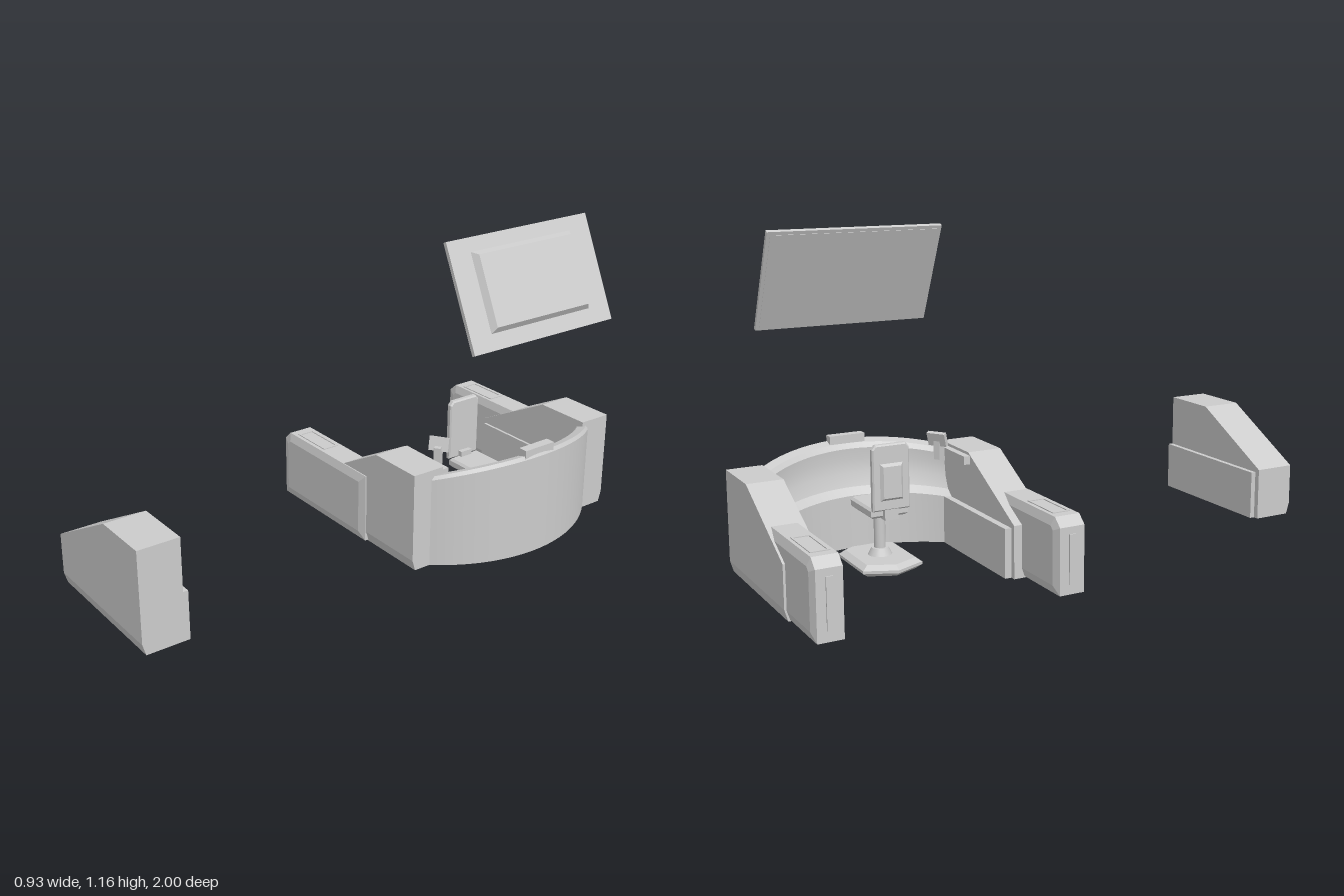
import * as THREE from 'three';
import { toCreasedNormals } from 'three/addons/utils/BufferGeometryUtils.js';

const grey = new THREE.MeshStandardMaterial({ color: 0xcccccc });

function add(parent, name, geometry, x = 0, y = 0, z = 0) {
  const mesh = new THREE.Mesh(geometry, grey);
  mesh.name = name;
  mesh.position.set(x, y, z);
  parent.add(mesh);
  return mesh;
}

// Box given by its extents
function block(parent, name, x0, x1, y0, y1, z0, z1) {
  return add(parent, name, new THREE.BoxGeometry(x1 - x0, y1 - y0, z1 - z0),
    (x0 + x1) / 2, (y0 + y1) / 2, (z0 + z1) / 2);
}

// Side profile extruded between z0 and z1, optionally chamfered on both faces
function slab(points, z0, z1, bevel = 0, inset = 0) {
  const shape = new THREE.Shape(points.map(p => new THREE.Vector2(...p)));
  return new THREE.ExtrudeGeometry(shape, {
    depth: z1 - z0 - 2 * bevel, bevelEnabled: bevel > 0, bevelThickness: bevel,
    bevelSize: inset, bevelOffset: -inset, bevelSegments: 1,
  }).translate(0, 0, z0 + bevel);
}

// Box whose +x face is drawn in on all sides
function taperedPanel(thick, high, wide, inset) {
  const g = new THREE.BoxGeometry(thick, high, wide).toNonIndexed();
  const p = g.attributes.position;
  for (let i = 0; i < p.count; i++) {
    if (p.getX(i) < 0) continue;
    p.setY(i, p.getY(i) - Math.sign(p.getY(i)) * inset);
    p.setZ(i, p.getZ(i) - Math.sign(p.getZ(i)) * inset);
  }
  g.computeVertexNormals();
  return g;
}

// Sloped side pod: inner and outer are z values, top is its height
function pod(name, inner, outer, top, plate) {
  const g = new THREE.Group();
  g.name = name;
  const side = Math.sign(outer - inner);
  const z0 = Math.min(inner, outer), z1 = Math.max(inner, outer);
  add(g, 'podBody', slab([[-0.23, 0.04], [0.32, 0.04], [0.32, top], [0.105, top], [-0.23, 0.187]], z0, z1));
  // Skirt tucked in at the bottom of the outer side
  const skirt = new THREE.BoxGeometry(0.55, 0.04, z1 - z0).toNonIndexed();
  const p = skirt.attributes.position;
  for (let i = 0; i < p.count; i++) {
    if (p.getY(i) < 0 && p.getZ(i) * side > 0) p.setZ(i, p.getZ(i) - side * 0.012);
  }
  skirt.computeVertexNormals();
  add(g, 'podSkirt', skirt, 0.045, 0.02, (z0 + z1) / 2);
  // Low plate on the inner face
  const edge = inner - side * plate;
  block(g, 'podInnerPlate', -0.21, 0.32, 0, 0.175, Math.min(edge, inner), Math.max(edge, inner));
  return g;
}

// Long chamfered arm reaching forward out of a pod
function arm(name, z0, z1) {
  const g = new THREE.Group();
  g.name = name;
  const mid = (z0 + z1) / 2;
  add(g, 'armBody', slab([[-0.463, 0.005], [0.05, 0.005], [0.05, 0.265], [-0.43, 0.265], [-0.463, 0.235]],
    z0, z1, 0.01, 0.03));
  block(g, 'armCore', -0.458, 0.05, 0.006, 0.235, z0 + 0.018, z1 - 0.018);
  block(g, 'armEndStrip', -0.468, -0.45, 0.04, 0.21, mid - 0.012, mid + 0.012);
  // Tray frame on top
  const rect = (w, d) => [[-w, -d], [w, -d], [w, d], [-w, d]].map(q => new THREE.Vector2(...q));
  const shape = new THREE.Shape(rect(0.085, 0.032));
  shape.holes.push(new THREE.Path(rect(0.077, 0.025)));
  const frame = new THREE.ExtrudeGeometry(shape, { depth: 0.004, bevelEnabled: false }).rotateX(-Math.PI / 2);
  add(g, 'armTrayFrame', frame, -0.31, 0.264, mid);
  return g;
}

function curvedWall() {
  // Cross-section as radius and share of the height, closed under the floor edge
  const section = [[0.49, 0], [0.586, 0], [0.586, 0.5], [0.586, 0.96], [0.578, 1], [0.545, 1], [0.533, 0.96],
    [0.535, 0.85], [0.53, 0.72], [0.515, 0.6], [0.49, 0.54], [0.49, 0]];
  const lathe = new THREE.LatheGeometry(section.map(q => new THREE.Vector2(...q)), 40, Math.PI / 4, Math.PI / 2);
  lathe.translate(-0.125, 0, 0);
  // The rim rises towards the middle
  const p = lathe.attributes.position;
  for (let i = 0; i < p.count; i++) {
    p.setY(i, p.getY(i) * (0.345 + 0.32 * (p.getX(i) - 0.32)));
  }
  return toCreasedNormals(lathe, 0.45);
}

function chair() {
  const g = new THREE.Group();
  g.name = 'chair';
  // Six-sided foot, pointed at the back
  const foot = slab([[-0.02, 0], [0.03, -0.11], [0.25, -0.11], [0.28, -0.06], [0.28, 0.06], [0.25, 0.11], [0.03, 0.11]],
    0, 0.04, 0.015, 0.02).rotateX(-Math.PI / 2);
  add(g, 'chairFoot', foot);
  add(g, 'chairPostCollar', new THREE.CylinderGeometry(0.03, 0.045, 0.03, 16), 0.14, 0.05, 0);
  add(g, 'chairPost', new THREE.CylinderGeometry(0.02, 0.02, 0.18, 16), 0.14, 0.12, 0);
  const seat = slab([[0.05, -0.068], [0.23, -0.068], [0.245, -0.05], [0.245, 0.05], [0.23, 0.068], [0.05, 0.068]],
    0, 0.035, 0.008, 0.008).rotateX(-Math.PI / 2);
  add(g, 'chairSeat', seat, 0, 0.195, 0);
  block(g, 'chairBackBracket', 0.03, 0.07, 0.19, 0.25, -0.025, 0.025);
  // Backrest with a raised panel behind
  const back = slab([[-0.068, 0.225], [0.068, 0.225], [0.068, 0.44], [0.055, 0.455], [-0.055, 0.455], [-0.068, 0.44]],
    0, 0.024, 0.005, 0.005).rotateY(Math.PI / 2);
  add(g, 'chairBackrest', back, 0.028, 0, 0);
  const panel = add(g, 'chairBackPanel', taperedPanel(0.012, 0.13, 0.085, 0.01), 0.023, 0.325, 0);
  panel.rotation.y = Math.PI;
  g.position.z = -0.52;
  return g;
}

function screen() {
  const g = new THREE.Group();
  g.name = 'screen';
  add(g, 'screenPanel', new THREE.BoxGeometry(0.014, 0.385, 0.64));
  add(g, 'screenRaisedCentre', taperedPanel(0.022, 0.281, 0.455, 0.016), 0.017, 0.004, 0.002);
  add(g, 'screenFace', new THREE.BoxGeometry(0.003, 0.36, 0.615), -0.007, 0, 0);
  g.position.set(0.362, 0.987, -0.52);
  g.rotation.z = 0.435;
  return g;
}

export function createModel() {
  const model = new THREE.Group();
  model.name = 'controlStation';

  // Two pods of the station and one standing apart
  model.add(pod('leftPod', -0.19, -0.062, 0.37, 0.024));
  model.add(pod('rightPod', -0.872, -1, 0.362, 0.01));
  const loose = pod('detachedPod', 0.85, 1, 0.367, 0.018);
  loose.position.y = 0.06;
  model.add(loose);
  block(model, 'leftPodLedge', 0.09, 0.32, 0.33, 0.36, -0.214, -0.19);

  model.add(arm('leftArm', -0.16, -0.048));
  model.add(arm('rightArm', -0.992, -0.885));

  add(model, 'curvedWall', curvedWall(), 0, 0, -0.52);
  block(model, 'rimBox', 0.42, 0.455, 0.365, 0.408, -0.586, -0.452);

  model.add(chair());
  model.add(screen());

  // Small tilted display beside the chair
  const display = new THREE.Group();
  display.name = 'smallDisplay';
  block(display, 'displayPlate', -0.036, 0.036, 0, 0.05, -0.008, 0.008).rotation.x = -0.3;
  block(display, 'displayStand', -0.012, 0.012, -0.05, 0.02, -0.006, 0.03);
  display.position.set(0.22, 0.378, -0.255);
  display.rotation.y = 0.6;
  model.add(display);

  return model;
}
